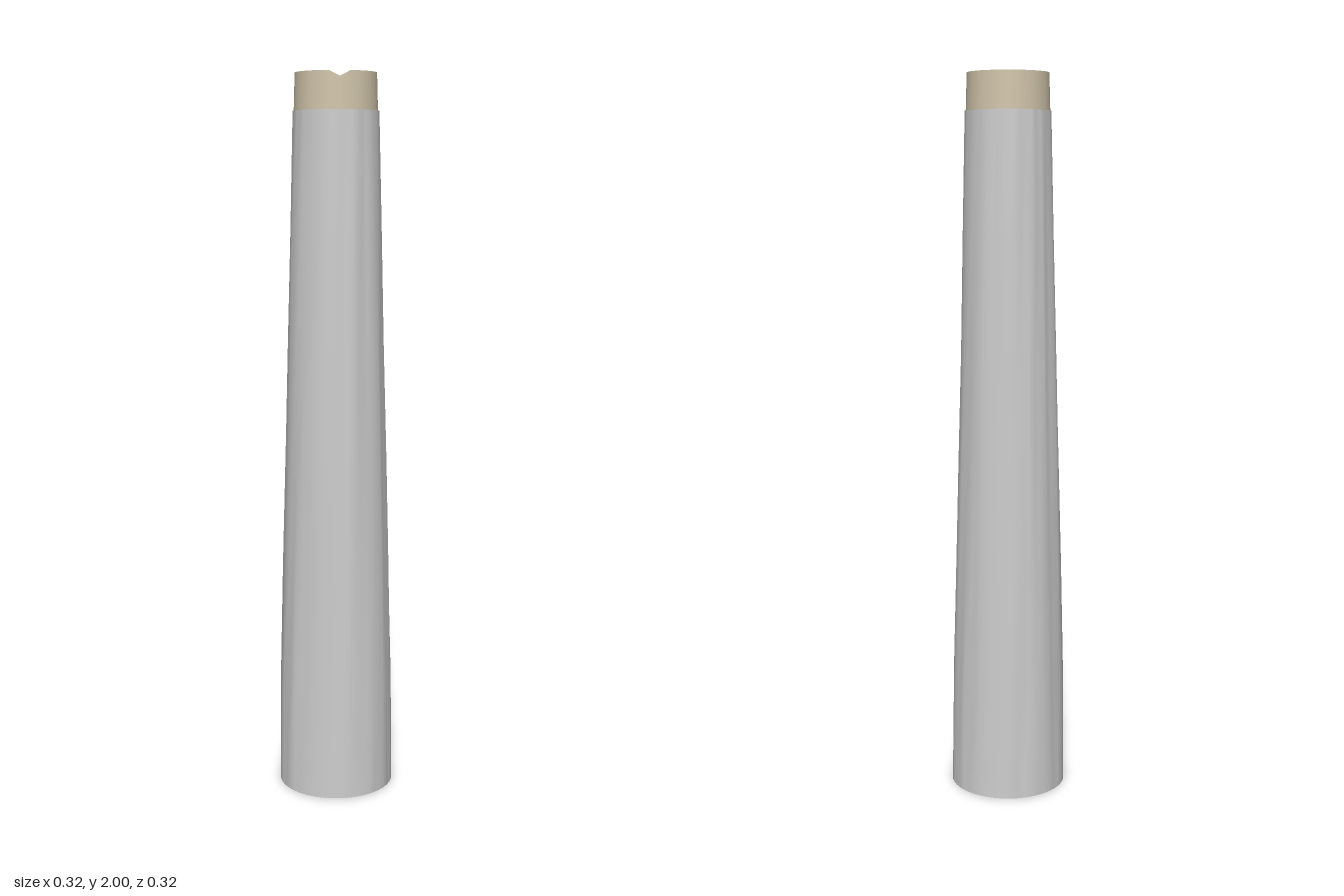
import * as THREE from 'three';
import { mergeVertices } from 'three/addons/utils/BufferGeometryUtils.js';

const COLUMNS = 48, ROWS = 6, BODY_H = 1.9;

// Small seeded random numbers in -1..1
function seeded(seed) {
  return () => {
    seed = (seed * 16807) % 2147483647;
    return (seed / 2147483647) * 2 - 1;
  };
}

// Tapered shaft with shallow, irregular grooves running along its length
function shaftGeometry() {
  const rand = seeded(4711);
  const geo = new THREE.CylinderGeometry(0.117, 0.162, BODY_H, COLUMNS, ROWS, true);
  geo.translate(0, BODY_H / 2, 0);
  const offsets = Array.from({ length: COLUMNS }, () => [rand(), rand()]);
  const pos = geo.attributes.position;
  for (let row = 0; row <= ROWS; row++) {
    const inner = row > 0 && row < ROWS;
    for (let c = 0; c <= COLUMNS; c++) {
      const i = row * (COLUMNS + 1) + c;
      const [a, b] = offsets[c % COLUMNS];
      const k = inner ? 1 + 0.0035 * (a / pos.getY(i) ** 0.1 + 0.6 * Math.sin(b * 9 + row)) / 0.14 : 1;
      pos.setX(i, pos.getX(i) * k);
      pos.setZ(i, pos.getZ(i) * k);
    }
  }
  geo.deleteAttribute('normal');
  geo.deleteAttribute('uv');
  const merged = mergeVertices(geo, 1e-5);
  merged.computeVertexNormals();
  return merged;
}

// Thin open collar with one rim point dipped at the front
function collarGeometry() {
  const geo = new THREE.CylinderGeometry(0.111, 0.114, 0.1, 24, 1, true);
  geo.translate(0, BODY_H + 0.05, 0);
  const pos = geo.attributes.position;
  for (let i = 0; i < pos.count; i++) {
    if (pos.getY(i) > 1.99 && pos.getZ(i) > 0 && Math.abs(pos.getX(i)) < 0.01) pos.setY(i, 1.985);
  }
  return geo;
}

export function createModel() {
  const group = new THREE.Group();
  const grey = new THREE.MeshStandardMaterial({ color: 0xcccccc });
  grey.name = 'lightGrey';
  const beige = new THREE.MeshStandardMaterial({ color: 0xd0c4aa, side: THREE.DoubleSide });
  beige.name = 'beige';

  const add = (name, geo, mat) => {
    const mesh = new THREE.Mesh(geo, mat);
    mesh.name = name;
    group.add(mesh);
    return mesh;
  };

  add('shaft', shaftGeometry(), grey);
  add('collar', collarGeometry(), beige);

  // Flat discs closing the shaft below and inside the collar
  const top = add('shaftTop', new THREE.CircleGeometry(0.117, COLUMNS), grey);
  top.rotation.x = -Math.PI / 2;
  top.position.y = BODY_H;
  const base = add('shaftBase', new THREE.CircleGeometry(0.162, COLUMNS), grey);
  base.rotation.x = Math.PI / 2;

  return group;
}
